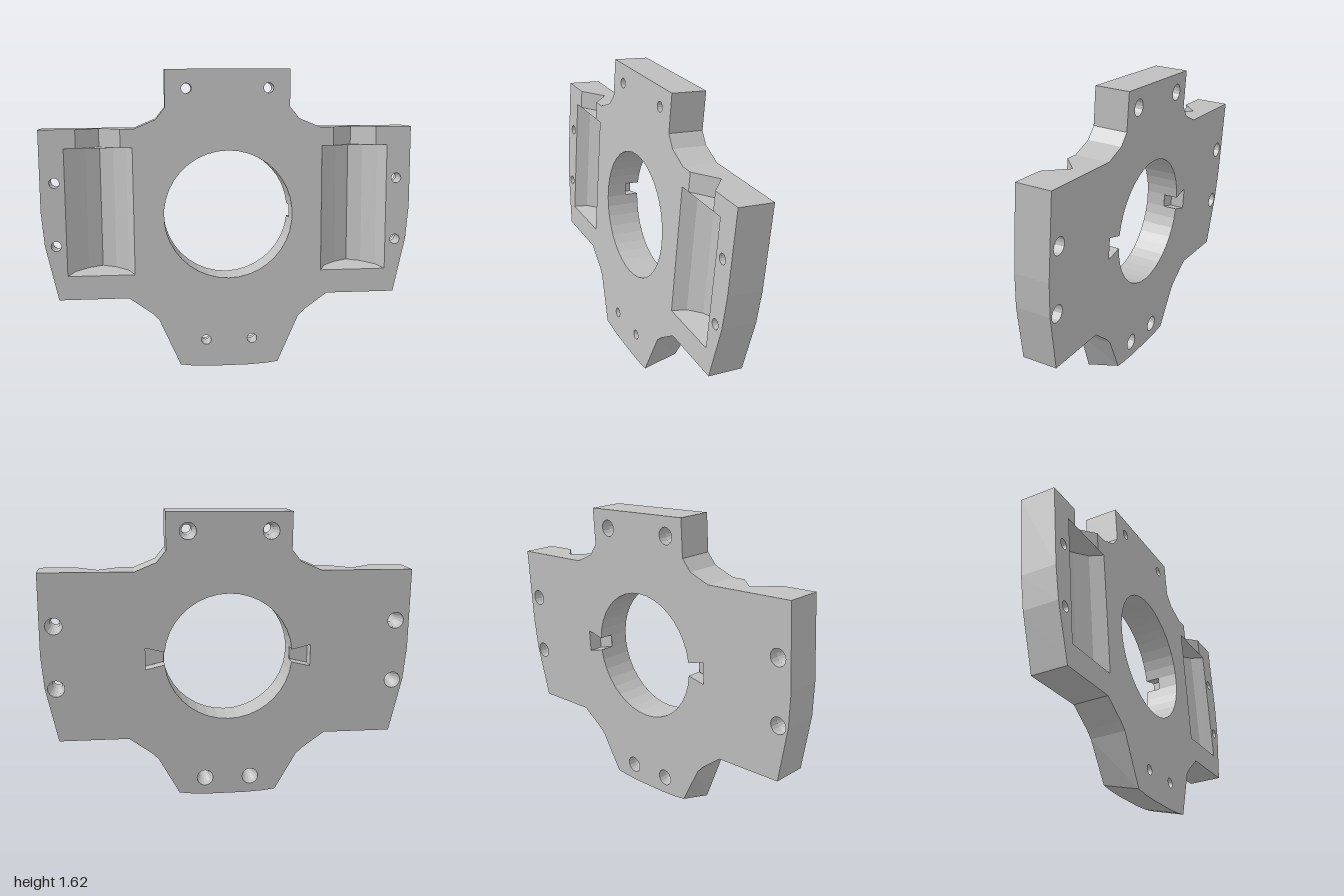
import * as THREE from 'three';

const T = 0.187;            // plate thickness
const LEAN = -0.0697;       // backward tilt
const LEDGE = 1.317;        // height of the side shoulders
const CX = 0.69;            // centre of each pocket
const POCKET_LOW = 0.53, POCKET_HIGH = 1.217;
const HOLE_Y = 0.848, HOLE_R = 0.349;
const KEY_DEPTH = 0.11;     // dovetail slots cut in from the back

const V2 = (a) => a.map(([x, y]) => new THREE.Vector2(x, y));
const mirror = (a) => a.map(([x, y]) => [-x, y]).reverse();
const at = (pts, z) => pts.map(([x, y]) => [x, y, z]);

// Strip of flat quads between two matching point rows
function loft(a, b, closed = false) {
  const v = [];
  const n = a.length;
  for (let i = 0; i < (closed ? n : n - 1); i++) {
    const j = (i + 1) % n;
    v.push(...a[i], ...b[i], ...a[j], ...b[i], ...b[j], ...a[j]);
  }
  const g = new THREE.BufferGeometry();
  g.setAttribute('position', new THREE.Float32BufferAttribute(v, 3));
  g.computeVertexNormals();
  return g;
}

function flat(outline, holes = []) {
  const s = new THREE.Shape(V2(outline));
  s.holes = holes.map((h) => new THREE.Path(V2(h)));
  return new THREE.ShapeGeometry(s);
}

// Clockwise circle, so lofted walls face inward
function circle(cx, cy, r, n = 16) {
  return Array.from({ length: n }, (_, i) => {
    const t = -i / n * Math.PI * 2;
    return [cx + r * Math.cos(t), cy + r * Math.sin(t)];
  });
}

export function createModel() {
  const steel = new THREE.MeshStandardMaterial({ color: 0xc0c0c0, side: THREE.DoubleSide, flatShading: true });
  steel.name = 'light grey metal';
  const model = new THREE.Group();
  model.name = 'mountingPlate';
  const plate = new THREE.Group();
  plate.name = 'tiltedPlate';
  plate.rotation.x = LEAN;
  plate.position.z = 0.15;
  model.add(plate);
  const add = (name, geo, x = 0, y = 0, z = 0) => {
    const m = new THREE.Mesh(geo, steel);
    m.name = name;
    m.position.set(x, y, z);
    plate.add(m);
    return m;
  };

  // Outline of the +x half, below and above the shoulder
  const lower = [[0.1, 0.001], [0.2, 0.006], [0.27, 0.015], [0.385, 0.275], [0.42, 0.31], [0.545, 0.4],
    [0.92, 0.4], [0.985, 0.7], [1, 0.88], [1, LEDGE]];
  const upper = [[0.5, LEDGE], [0.385, 1.365], [0.335, 1.427], [0.335, 1.628]];
  const lowerAll = [...mirror(lower), ...lower];
  const upperAll = [...upper, ...mirror(upper)];
  // The foot is bevelled: its back edge sits higher than the front one
  const raise = (pts) => pts.map(([x, y]) => [x, y < 0.1 ? y + 0.055 : y]);
  add('lowerEdge', loft(at(lowerAll, 0), at(raise(lowerAll), -T)));
  add('upperEdge', loft(at(upperAll, 0), at(upperAll, -T)));

  // Centre bore, widened by two dovetail slots at the back
  const a0 = Math.asin(0.035 / HOLE_R), N = 18;
  const arc = Array.from({ length: N + 1 }, (_, i) => {
    const t = a0 + (Math.PI - 2 * a0) * i / N;
    return [HOLE_R * Math.cos(t), HOLE_R * Math.sin(t)];
  });
  const opposite = arc.map(([x, y]) => [-x, -y]);
  const lift = (pts) => pts.map(([x, y]) => [x, y + HOLE_Y]).reverse();
  const bore = lift([...arc, ...opposite]);
  const keyed = lift([...arc, [-0.45, 0.06], [-0.45, -0.06], ...opposite, [0.45, -0.06], [0.45, 0.06]]);
  add('boreWall', loft(at(bore, 0), at(bore, -KEY_DEPTH), true));
  add('keyedBoreWall', loft(at(keyed, -KEY_DEPTH), at(keyed, -T), true));
  for (const s of [-1, 1]) {
    const key = flat([[s * HOLE_R, -0.035], [s * 0.45, -0.06], [s * 0.45, 0.06], [s * HOLE_R, 0.035]]);
    add('dovetailFloor', key.rotateY(Math.PI), 0, HOLE_Y, -KEY_DEPTH);
  }

  // Countersunk bolt holes
  const bolts = [[0.22, 1.527], [0.925, 1.035], [0.925, 0.695], [0.127, 0.153]]
    .flatMap(([x, y]) => [[x, y], [-x, y]]);
  const narrow = bolts.map(([x, y]) => circle(x, y, 0.027));
  const wide = bolts.map(([x, y]) => circle(x, y, 0.045));
  bolts.forEach((_, i) => {
    add('boltHole', loft(at(narrow[i], 0), at(narrow[i], -0.1), true));
    add('boltHoleCone', loft(at(narrow[i], -0.1), at(wide[i], -0.14), true));
    add('boltHoleSeat', loft(at(wide[i], -0.14), at(wide[i], -T), true));
  });

  // Front and back faces; the front is cut away around the pockets
  const cut = [[0.117, LEDGE], [0.117, POCKET_HIGH], [0.18, POCKET_HIGH], [0.18, POCKET_LOW],
    [-0.18, POCKET_LOW], [-0.18, POCKET_HIGH], [-0.117, POCKET_HIGH], [-0.117, LEDGE]]
    .map(([x, y]) => [x + CX, y]);
  add('frontFace', flat([...lowerAll, ...cut, ...upperAll, ...mirror(cut)], [bore, ...narrow]));
  add('backFace', flat([...raise(lowerAll), ...upperAll], [keyed, ...wide]).rotateY(Math.PI), 0, 0, -T);

  // Pockets with a V groove leading up through the shoulder: [x, depth]
  const half = [[0.18, 0], [0.145, 0.07], [0.075, 0.125]];
  const pocket = [...half, [0, 0.155], ...mirror(half)];
  const groove = [[0.117, 0], [0, 0.1], [-0.117, 0]];
  const rise = 0.16;        // slope of the pocket's lower end
  for (const s of [-1, 1]) {
    const x = s * CX;
    add('pocketWall', loft(pocket.map(([px, d]) => [px, POCKET_LOW + rise * d, -d]),
      pocket.map(([px, d]) => [px, POCKET_HIGH, -d])), x);
    add('grooveWall', loft(groove.map(([px, d]) => [px, POCKET_HIGH, -d]),
      groove.map(([px, d]) => [px, LEDGE, -d])), x);

    const sill = flat(pocket).rotateX(-Math.PI / 2);
    const p = sill.attributes.position;
    for (let i = 0; i < p.count; i++) p.setY(i, -p.getZ(i) * rise);
    sill.computeVertexNormals();
    add('pocketSill', sill, x, POCKET_LOW);

    const lintel = [...pocket, ...mirror(groove)].map(([px, d]) => [px, -d]);
    add('pocketTop', flat(lintel).rotateX(Math.PI / 2), x, POCKET_HIGH);

    const ledge = [[0.5, 0], [CX - 0.117, 0], [CX, 0.1], [CX + 0.117, 0], [1, 0], [1, T], [0.5, T]];
    add('shoulder', flat(ledge.map(([px, d]) => [s * px, d])).rotateX(-Math.PI / 2), 0, LEDGE);
  }
  return model;
}
